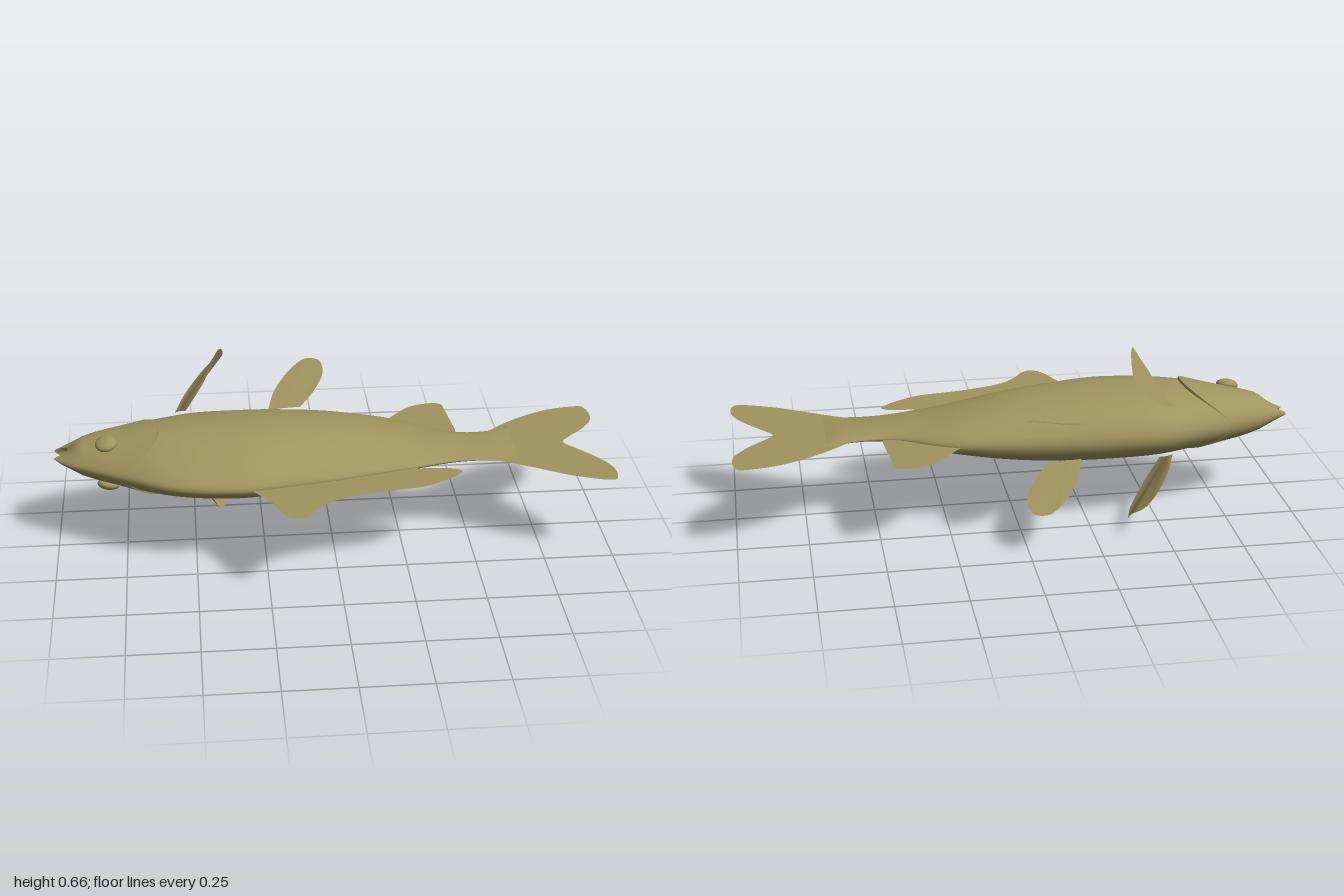
import * as THREE from 'three';

const Y0 = 0.333; // height of the fish's plane of symmetry (it lies on its side)

// Body stations: x, back edge z, belly edge z, half thickness
const STATIONS = [
  [-1, -0.05, -0.113, 0.022], [-0.96, 0, -0.13, 0.045], [-0.85, 0.07, -0.178, 0.08],
  [-0.74, 0.135, -0.215, 0.098], [-0.62, 0.205, -0.25, 0.115], [-0.5, 0.245, -0.282, 0.125],
  [-0.34, 0.26, -0.287, 0.13], [-0.2, 0.242, -0.287, 0.125], [0, 0.205, -0.275, 0.107],
  [0.2, 0.155, -0.247, 0.07], [0.3, 0.13, -0.208, 0.05], [0.42, 0.1, -0.14, 0.034],
  [0.52, 0.095, -0.125, 0.02], [0.62, 0.107, -0.142, 0.011], [0.67, 0.13, -0.17, 0.002],
];

// Smooth interpolation of one station column at x
function profile(x, k) {
  const n = STATIONS.length;
  let i = 0;
  while (i < n - 2 && x > STATIONS[i + 1][0]) i++;
  const slope = (j) => {
    const a = STATIONS[Math.max(j - 1, 0)], b = STATIONS[Math.min(j + 1, n - 1)];
    return (b[k] - a[k]) / (b[0] - a[0]);
  };
  const p = STATIONS[i], q = STATIONS[i + 1], d = q[0] - p[0], t = (x - p[0]) / d;
  const t2 = t * t, t3 = t2 * t;
  return (2 * t3 - 3 * t2 + 1) * p[k] + (t3 - 2 * t2 + t) * d * slope(i)
    + (3 * t2 - 2 * t3) * q[k] + (t3 - t2) * d * slope(i + 1);
}

// Point on the egg-shaped skin; angle 0 is the back, PI the belly
function skin(x, a, lift = 0) {
  const back = profile(x, 1), belly = profile(x, 2), u = Math.cos(a), s = Math.sin(a);
  const narrow = u > 0 ? 1 - 0.45 * Math.pow(u, 1.5) : 1;
  const jaw = x < -0.9 ? 0.5 * (-0.9 - x) * s * s : 0; // parts the lips at the sides
  const y = (profile(x, 3) * narrow + lift * Math.abs(s)) * s;
  return [x + jaw, Y0 + y, (back + belly) / 2 + (back - belly) / 2 * u];
}

// Closed loops of points joined row by row
function loft(rows, cols, at) {
  const pos = [], idx = [];
  for (let i = 0; i <= rows; i++)
    for (let j = 0; j < cols; j++) pos.push(...at(i / rows, j / cols * Math.PI * 2));
  for (let i = 0; i < rows; i++)
    for (let j = 0; j < cols; j++) {
      const a = i * cols + j, c = i * cols + (j + 1) % cols;
      idx.push(a, a + cols, c, c, a + cols, c + cols);
    }
  const g = new THREE.BufferGeometry();
  g.setAttribute('position', new THREE.Float32BufferAttribute(pos, 3));
  g.setIndex(idx);
  g.computeVertexNormals();
  return g;
}

// Thin fin in the plane of symmetry: curved outline (x, z), then straight base
function flatFin(outline, base) {
  const v = outline.map((p) => new THREE.Vector2(...p));
  const s = new THREE.Shape();
  s.moveTo(v[0].x, v[0].y);
  s.splineThru(v.slice(1));
  base.forEach((p) => s.lineTo(...p));
  return new THREE.ShapeGeometry(s, 6).rotateX(Math.PI / 2).translate(0, Y0, 0);
}

// Paired fin: a fan from the root to a curved rim, side = 1 or -1
function pairedFin(root, rim, side) {
  const flip = ([x, y, z]) => [x, Y0 + (y - Y0) * side, z];
  const curve = new THREE.CatmullRomCurve3(rim.map((p) => new THREE.Vector3(...flip(p))));
  const pos = [...flip(root)], idx = [], n = 36;
  curve.getPoints(n).forEach((p, i) => {
    pos.push(p.x, p.y, p.z);
    if (i) idx.push(0, i, i + 1);
  });
  const g = new THREE.BufferGeometry();
  g.setAttribute('position', new THREE.Float32BufferAttribute(pos, 3));
  g.setIndex(idx);
  g.computeVertexNormals();
  return g;
}

export function createModel() {
  const group = new THREE.Group();
  const olive = new THREE.MeshStandardMaterial({ color: 0xa0945e, side: THREE.DoubleSide });
  olive.name = 'olive';
  const add = (name, geometry) => {
    const m = new THREE.Mesh(geometry, olive);
    m.name = name;
    group.add(m);
    return m;
  };

  // Body and hollow mouth
  add('body', loft(64, 40, (t, a) => skin(-1 + 1.67 * t, a)));
  add('mouth', loft(1, 40, (t, a) => (t ? skin(-1, a) : [-0.942, Y0, -0.098])));

  // Gill covers: a raised shell over the head with a stepped rear edge
  const edge = (a) => -0.62 - 0.15 * Math.cos(a) ** 2;
  add('gillCover', loft(14, 40, (t, a) => skin(-0.9 + (edge(a) + 0.9) * t, a, 0.012 * t * t)));
  add('gillEdge', loft(1, 40, (t, a) => skin(edge(a) + 0.002 * t, a, 0.012 - 0.014 * t)));

  // Fins along the midline
  add('dorsalFin', flatFin([
    [-0.3, 0.255], [-0.24, 0.34], [-0.2, 0.43], [-0.16, 0.468], [-0.12, 0.455], [-0.07, 0.39],
    [0, 0.34], [0.14, 0.3], [0.3, 0.275], [0.39, 0.23], [0.44, 0.19], [0.45, 0.165],
    [0.41, 0.145], [0.3, 0.137]], [[0.28, 0.1], [0, 0.15], [-0.25, 0.2]]));
  add('analFin', flatFin([
    [0.21, -0.24], [0.32, -0.36], [0.4, -0.39], [0.45, -0.38], [0.46, -0.32], [0.475, -0.16]],
  [[0.47, -0.1], [0.25, -0.18]]));
  add('tailFin', flatFin([
    [0.6, -0.14], [0.7, -0.22], [0.83, -0.29], [0.95, -0.315], [0.99, -0.3], [0.997, -0.21],
    [0.95, -0.13], [0.88, -0.06], [0.855, -0.02], [0.9, 0.04], [0.965, 0.125], [0.997, 0.2],
    [0.99, 0.27], [0.95, 0.28], [0.83, 0.235], [0.7, 0.16], [0.6, 0.105]],
  [[0.54, 0.08], [0.54, -0.11]]));

  // Paired fins and eyes, mirrored through the body
  for (const side of [1, -1]) {
    const label = side > 0 ? 'Upper' : 'Lower';
    add('pectoralFin' + label, pairedFin([-0.54, 0.44, -0.185], [
      [-0.52, 0.45, -0.165], [-0.46, 0.54, -0.178], [-0.41, 0.635, -0.19], [-0.4, 0.66, -0.21],
      [-0.385, 0.655, -0.25], [-0.38, 0.58, -0.35], [-0.415, 0.545, -0.386],
      [-0.45, 0.515, -0.375], [-0.52, 0.46, -0.29], [-0.56, 0.43, -0.195]], side));
    add('pelvicFin' + label, pairedFin([-0.15, 0.405, -0.25], [
      [-0.215, 0.4, -0.25], [-0.185, 0.435, -0.345], [-0.115, 0.48, -0.44],
      [-0.06, 0.503, -0.473], [-0.01, 0.503, -0.455], [0, 0.48, -0.39],
      [-0.04, 0.445, -0.305], [-0.095, 0.41, -0.245]], side));
    const eye = add('eye' + label, new THREE.SphereGeometry(1, 24, 16));
    eye.scale.set(0.04, 0.02, 0.039);
    eye.position.set(-0.807, Y0 + side * 0.082, 0.004);
    eye.rotation.set(side * 0.3, 0, side * 0.15);
  }
  return group;
}
